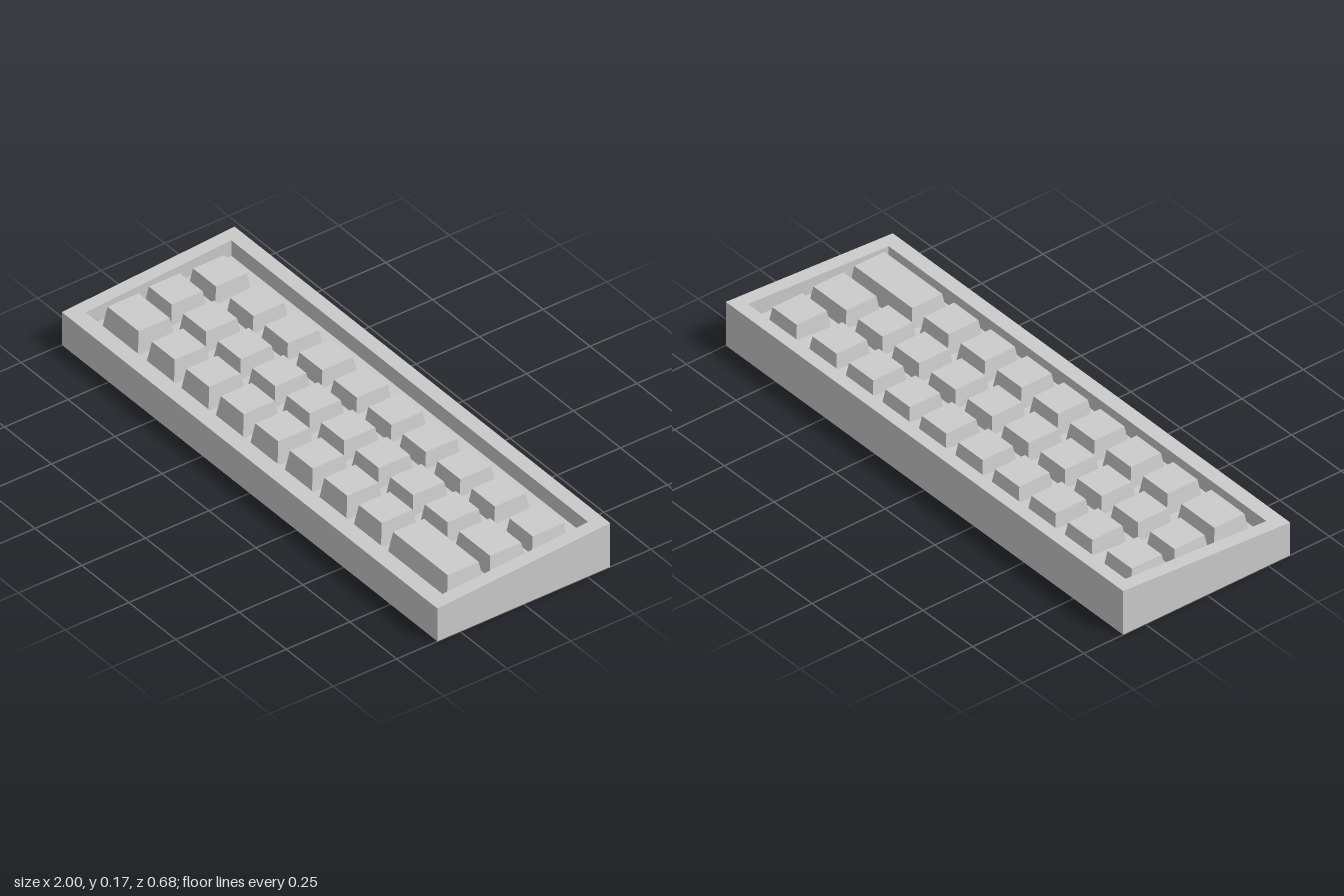
import * as THREE from 'three';

const material = new THREE.MeshStandardMaterial({ color: 0xcccccc, flatShading: true });

const DEPTH = 0.34;        // half depth of the case
const RECESS = 0.06;       // depth of the key well below the rim
const KEY_TOP = 0.158;     // all key tops are level
const KEY_SIZE = 0.122;    // top face of a standard key
const TAPER = 0.15;        // outward lean of the key sides

// Height of the sloping rim and of the well floor at a given z
const rimY = (z) => 0.1495 - 0.063 * z;
const floorY = (z) => rimY(z) - RECESS;

function rectangle(PathType, x0, x1, z0, z1) {
  const p = new PathType();
  p.moveTo(x0, -z1);
  p.lineTo(x1, -z1);
  p.lineTo(x1, -z0);
  p.lineTo(x0, -z0);
  p.closePath();
  return p;
}

// Move every vertex of a geometry by a rule
function reshape(geometry, rule) {
  const pos = geometry.attributes.position;
  const v = new THREE.Vector3();
  for (let i = 0; i < pos.count; i++) {
    rule(v.fromBufferAttribute(pos, i));
    pos.setXYZ(i, v.x, v.y, v.z);
  }
  geometry.computeVertexNormals();
  return geometry;
}

function addMesh(parent, name, geometry) {
  const mesh = new THREE.Mesh(geometry, material);
  mesh.name = name;
  parent.add(mesh);
  return mesh;
}

// Key with a level top and tapered sides that meet the sloping floor
function keyGeometry(x, z, width) {
  return reshape(new THREE.BoxGeometry(width, 1, KEY_SIZE), (v) => {
    const sx = Math.sign(v.x), sz = Math.sign(v.z);
    const top = v.y > 0;
    v.x += x;
    v.z += z;
    v.y = KEY_TOP;
    if (!top) {
      const spread = TAPER * (KEY_TOP - floorY(v.z));
      v.x += sx * spread;
      v.z += sz * spread;
      v.y = floorY(v.z) - 0.002;
    }
  });
}

export function createModel() {
  const model = new THREE.Group();
  model.name = 'keyboard';

  // Wedge-shaped case frame around the key well
  const outline = rectangle(THREE.Shape, -1, 1, -DEPTH, DEPTH);
  outline.holes.push(rectangle(THREE.Path, -0.95, 0.95, -0.29, 0.283));
  const frame = new THREE.ExtrudeGeometry(outline, { depth: 1, bevelEnabled: false });
  frame.rotateX(-Math.PI / 2);
  addMesh(model, 'caseFrame', reshape(frame, (v) => { v.y = v.y > 0.5 ? rimY(v.z) : 0; }));

  // Sloping floor of the key well, closed down to the underside
  const floor = new THREE.BoxGeometry(1.9, 1, 0.573).translate(0, 0, -0.0035);
  addMesh(model, 'caseFloor', reshape(floor, (v) => { v.y = v.y > 0 ? floorY(v.z) : 0; }));

  // Rows: z, first standard key, number of standard keys, then odd keys [x, width]
  const rows = [
    { name: 'backRow', z: -0.171, start: -0.65, count: 8, ends: [[-0.849, KEY_SIZE], [0.837, KEY_SIZE]] },
    { name: 'middleRow', z: 0, start: -0.853, count: 9, ends: [[0.821, 0.166]] },
    { name: 'frontRow', z: 0.17, start: -0.607, count: 7, ends: [[-0.821, 0.166], [0.762, 0.291]] },
  ];
  for (const { name, z, start, count, ends } of rows) {
    const row = new THREE.Group();
    row.name = name;
    for (let i = 0; i < count; i++) {
      addMesh(row, 'key', keyGeometry(start + i * 0.1837, z, KEY_SIZE));
    }
    for (const [x, width] of ends) addMesh(row, 'endKey', keyGeometry(x, z, width));
    model.add(row);
  }

  return model;
}
